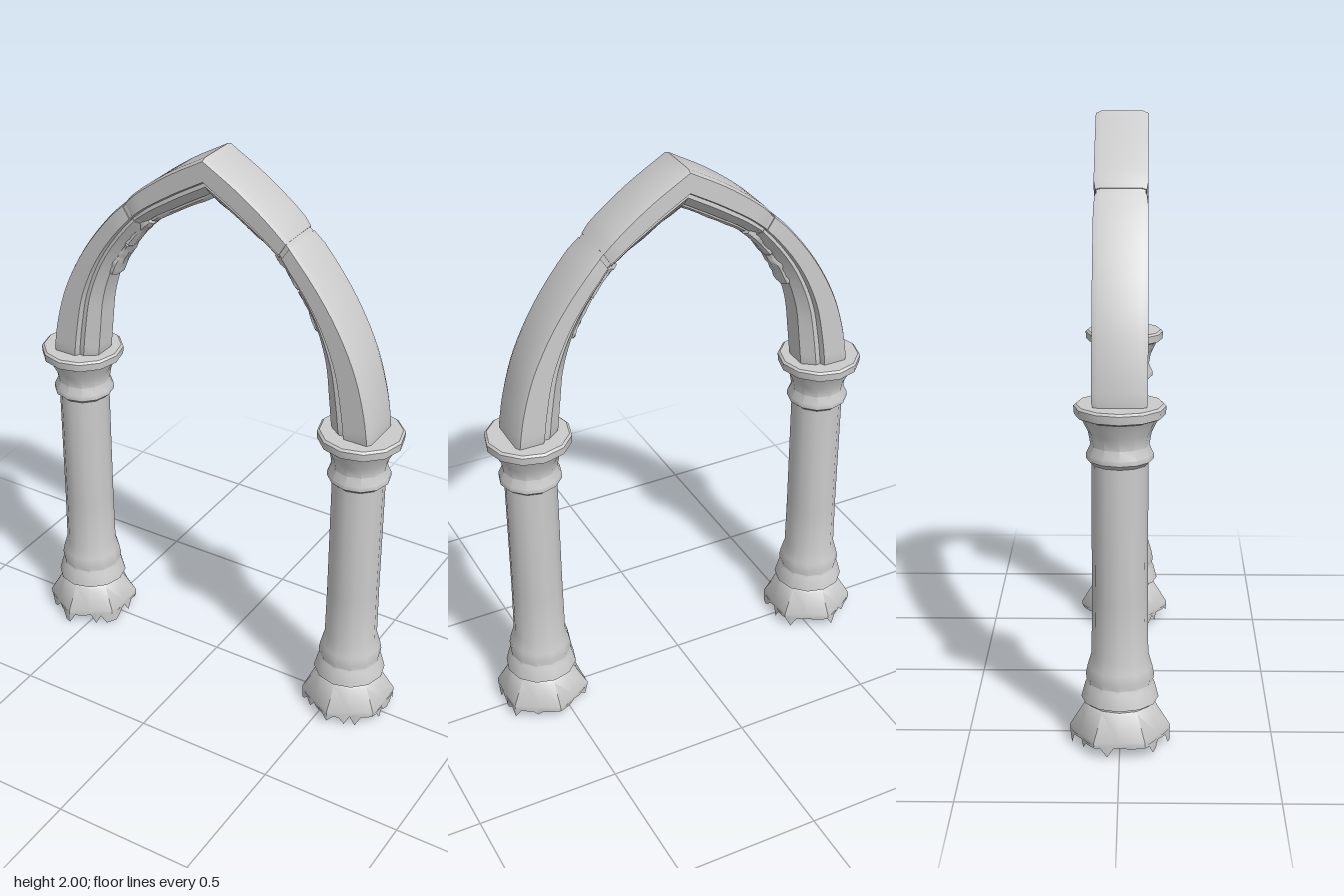
import * as THREE from 'three';
import { toCreasedNormals, mergeVertices } from 'three/addons/utils/BufferGeometryUtils.js';

const stone = new THREE.MeshStandardMaterial({ color: 0xcccccc });
const thinStone = new THREE.MeshStandardMaterial({ color: 0xcccccc, side: THREE.DoubleSide });

function seeded(seed) {
  return () => {
    seed = (seed * 16807) % 2147483647;
    return seed / 2147483647;
  };
}

function curve(points) {
  return new THREE.CatmullRomCurve3(points.map(([x, y]) => new THREE.Vector3(x, y, 0)));
}

// Outer and inner edges of one arch half, from springing to crown
const outer = curve([[0.632, 1.13], [0.608, 1.27], [0.56, 1.42], [0.46, 1.6], [0.3, 1.79], [0.15, 1.91], [0, 2]]);
const inner = curve([[0.465, 1.13], [0.452, 1.25], [0.432, 1.39], [0.372, 1.545], [0.25, 1.705], [0.125, 1.79], [0, 1.865]]);

// Cross-sections: [share of the way from outer to inner edge, z]
const mirrorZ = half => [...half, ...half.slice().reverse().map(([d, z]) => [d, -z])];
const archSection = mirrorZ([[0, 0.07], [0.06, 0.088], [0.58, 0.088], [0.63, 0.07], [0.74, 0.072], [1, 0.04]]);
const ribSection = mirrorZ([[0.85, 0.045], [1.08, 0.04], [1.2, 0.022]]);

// Sweep a closed section along an arch half, with capped ends
function sweep(section, t0, t1, steps, side, shape = () => 1) {
  const pos = [], index = [], n = section.length;
  for (let i = 0; i <= steps; i++) {
    const t = t0 + (t1 - t0) * i / steps;
    const a = outer.getPoint(t), b = inner.getPoint(t);
    const mid = section.reduce((s, p) => s + p[0], 0) / n;
    section.forEach(([d, z], j) => {
      const k = shape(i / steps, j);
      const p = a.clone().lerp(b, mid + (d - mid) * k);
      pos.push(side * p.x, p.y, z * k);
    });
  }
  const tri = (a, b, c) => (side > 0 ? index.push(a, b, c) : index.push(a, c, b));
  for (let i = 0; i < steps; i++) {
    for (let j = 0; j < n; j++) {
      const a = i * n + j, b = i * n + (j + 1) % n;
      tri(a, a + n, b);
      tri(b, a + n, b + n);
    }
  }
  // The section is symmetric in z, so strips across it close each end
  const last = steps * n;
  for (let j = 0; j < n / 2 - 1; j++) {
    const k = n - 1 - j;
    tri(j, j + 1, k); tri(j + 1, k - 1, k);
    tri(last + j, last + k, last + j + 1); tri(last + j + 1, last + k, last + k - 1);
  }
  const geo = new THREE.BufferGeometry();
  geo.setAttribute('position', new THREE.Float32BufferAttribute(pos, 3));
  geo.setIndex(index);
  return toCreasedNormals(geo, 0.6);
}

function add(group, name, geometry, material = stone) {
  const mesh = new THREE.Mesh(geometry, material);
  mesh.name = name;
  group.add(mesh);
  return mesh;
}

// Column turned as one piece: flared foot, torus, shaft, necking, capital
function column(name, x, seed) {
  const rand = seeded(seed);
  const group = new THREE.Group();
  group.name = name;
  const profile = [
    [0, 0.04], [0.145, 0.04], [0.145, 0.055], [0.115, 0.135], [0.108, 0.142], [0.108, 0.148],
    [0.126, 0.155], [0.113, 0.205], [0.108, 0.215], [0.111, 0.235], [0.105, 0.265], [0.092, 0.31],
    [0.09, 0.5], [0.09, 0.95], [0.107, 0.965], [0.107, 0.98], [0.093, 1.01], [0.1, 1.05],
    [0.125, 1.1], [0.144, 1.108], [0.146, 1.135], [0.138, 1.142], [0, 1.142],
  ].map(p => new THREE.Vector2(...p));
  let body = new THREE.LatheGeometry(profile, 12);
  const pos = body.attributes.position;
  for (let i = 0; i < pos.count; i++) {
    // The foot spreads into a hexagon with corners towards front and back
    const ring = Math.floor(i / profile.length);
    if (pos.getY(i) < 0.06 && ring % 2 === 0) {
      pos.setX(i, pos.getX(i) * 1.13);
      pos.setZ(i, pos.getZ(i) * 1.13);
    }
  }
  body.deleteAttribute('normal');
  body.deleteAttribute('uv');
  body = mergeVertices(body, 1e-4);
  add(group, 'columnBody', toCreasedNormals(body, 0.62));

  // Ragged broken edge hanging below the foot
  const teeth = 48;
  const skirt = new THREE.CylinderGeometry(0.148, 0.148, 0.04, teeth, 1, true);
  const sp = skirt.attributes.position;
  const drops = Array.from({ length: teeth }, () => (rand() < 0.35 ? 0.02 + rand() * 0.02 : 0.004));
  drops[5] = 0.04;
  for (let i = 0; i < sp.count; i++) {
    const k = i % (teeth + 1) % teeth;
    const u = Math.abs((k % 8) / 4 - 1);
    const r = 0.143 + 0.02 * u;
    const a = k / teeth * Math.PI * 2;
    sp.setXYZ(i, Math.sin(a) * r, sp.getY(i) > 0 ? 0.045 : 0.04 - drops[k], Math.cos(a) * r);
  }
  add(group, 'brokenFootEdge', skirt.toNonIndexed(), thinStone).geometry.computeVertexNormals();
  group.position.x = x;
  return group;
}

// Half arch: two long stones with a worn joint, and broken rib stones below
function archHalf(name, side, seed) {
  const rand = seeded(seed);
  const group = new THREE.Group();
  group.name = name;
  const worn = u => (u < 0.001 || u > 0.999 ? 0.94 : 1);
  const joint = 0.655;
  add(group, 'lowerArchStone', sweep(archSection, 0, joint - 0.006, 18, side, worn));
  add(group, 'upperArchStone', sweep(archSection, joint + 0.006, 1, 12, side, u => (u < 0.001 ? 0.94 : 1)));
  add(group, 'jointMortar', sweep(archSection, joint - 0.02, joint + 0.02, 2, side, () => 0.9));
  for (const [t0, t1] of [[0.43, 0.56], [0.565, 0.68], [0.69, 0.998]]) {
    const size = t0 > 0.68 ? 0.75 : 1;
    add(group, 'brokenRibStone', sweep(ribSection, t0, t1, 7, side, () => size * (0.85 + rand() * 0.25)));
  }
  return group;
}

export function createModel() {
  const model = new THREE.Group();
  model.name = 'pointedArch';
  model.add(column('leftColumn', 0.555, 17), column('rightColumn', -0.562, 91));
  model.add(archHalf('leftArchHalf', 1, 23), archHalf('rightArchHalf', -1, 57));
  return model;
}
